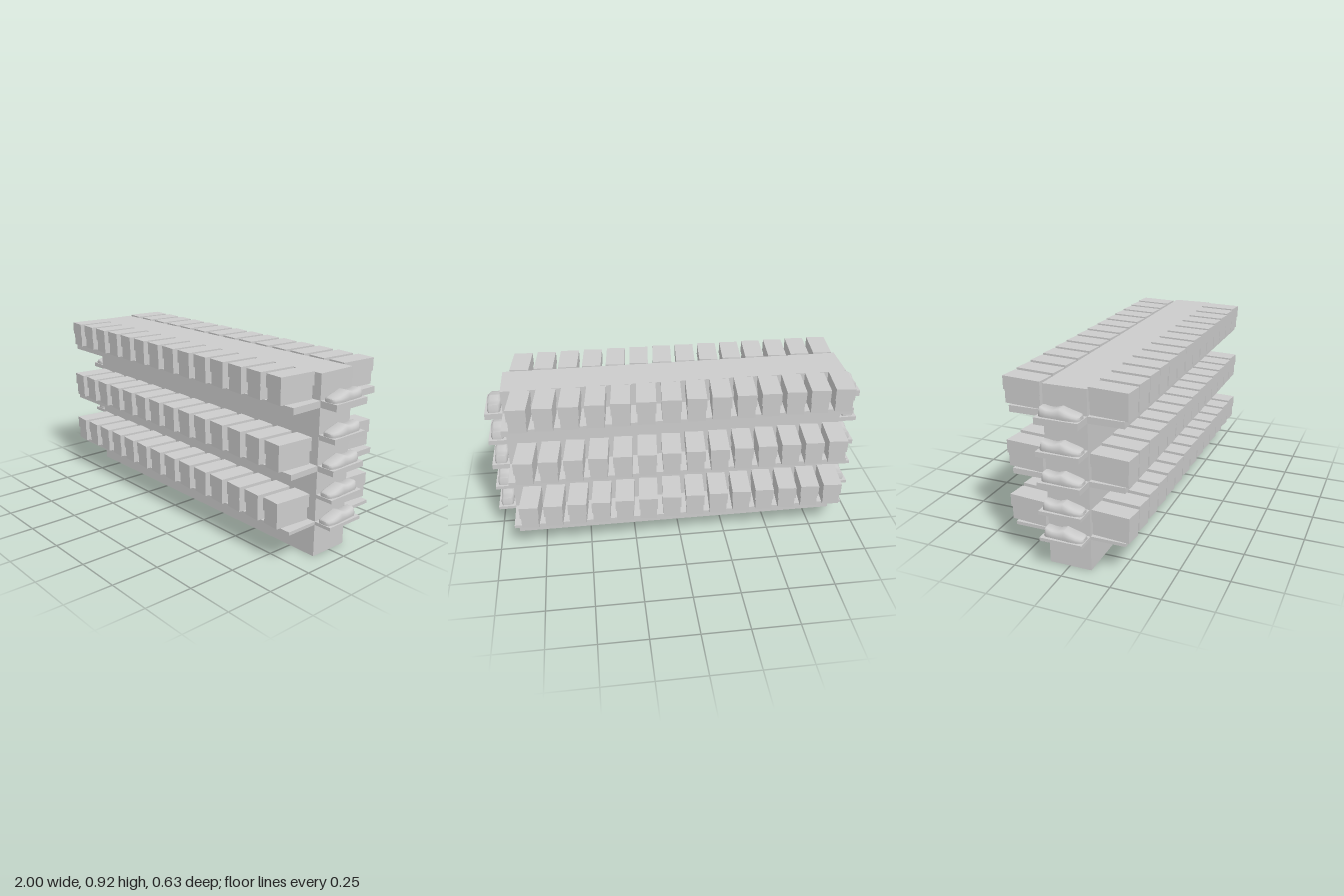
import * as THREE from 'three';
import { toCreasedNormals } from 'three/addons/utils/BufferGeometryUtils.js';

const grey = new THREE.MeshStandardMaterial({ color: 0xcccccc });
const greyDouble = new THREE.MeshStandardMaterial({ color: 0xcccccc, side: THREE.DoubleSide });

// Box standing on height y
function slab(name, w, h, d, x, y, z) {
  const mesh = new THREE.Mesh(new THREE.BoxGeometry(w, h, d), grey);
  mesh.position.set(x, y + h / 2, z);
  mesh.name = name;
  return mesh;
}

// Shoe lofted from toe (+z) to heel (-z)
function shoeGeometry() {
  // z, height, half width
  const stations = [
    [0.108, 0.018, 0.022], [0.1, 0.023, 0.032], [0.075, 0.028, 0.039], [0.045, 0.036, 0.04],
    [0.012, 0.047, 0.038], [-0.022, 0.036, 0.036], [-0.05, 0.036, 0.035],
    [-0.075, 0.041, 0.034], [-0.086, 0.042, 0.03], [-0.092, 0.02, 0.024],
  ];
  // Half cross-section as fractions of width and height
  const half = [[0.95, 0], [1, 0.3], [0.95, 0.6], [0.8, 0.88], [0.6, 1]];
  const ring = [...half, ...half.slice().reverse().map(([u, v]) => [-u, v])];
  const n = ring.length, pos = [], idx = [];
  for (const [z, h, w] of stations) for (const [u, v] of ring) pos.push(u * w, v * h, z);
  for (let i = 0; i < stations.length - 1; i++) {
    for (let j = 0; j < n; j++) {
      const a = i * n + j, b = i * n + (j + 1) % n;
      idx.push(a, a + n, b, b, a + n, b + n);
    }
  }
  const last = (stations.length - 1) * n;
  for (let j = 1; j < n - 1; j++) {
    idx.push(0, j, j + 1);
    idx.push(last, last + j + 1, last + j);
  }
  const geo = new THREE.BufferGeometry();
  geo.setAttribute('position', new THREE.Float32BufferAttribute(pos, 3));
  geo.setIndex(idx);
  return toCreasedNormals(geo, 0.8);
}

// Shoe box with a slightly wider lid
function shoeBox() {
  const box = new THREE.Group();
  box.name = 'shoeBox';
  box.add(slab('boxBody', 0.09, 0.066, 0.19, 0, 0, 0));
  box.add(slab('boxLid', 0.1, 0.066, 0.2, 0, 0.066, 0));
  box.rotation.y = -0.087;
  return box;
}

export function createModel() {
  const model = new THREE.Group();
  model.name = 'shoeDisplay';

  // Hollow core, open underneath
  const coreGeo = new THREE.BoxGeometry(1.81, 0.91, 0.218);
  const faces = Array.from(coreGeo.index.array);
  faces.splice(18, 6);
  coreGeo.setIndex(faces);
  coreGeo.clearGroups();
  const core = new THREE.Mesh(coreGeo, greyDouble);
  core.position.set(0, 0.455, 0.004);
  core.name = 'core';
  model.add(core);

  // Long shelves with a row of boxes on the front and back
  for (const [bottom, top] of [[0.167, 0.184], [0.44, 0.468], [0.75, 0.783]]) {
    model.add(slab('longShelf', 1.81, top - bottom, 0.572, 0, bottom, 0.004));
    for (const z of [0.214, -0.213]) {
      for (let i = 0; i < 14; i++) {
        const box = shoeBox();
        box.position.set(-0.847 + i * 0.1275, top, z);
        model.add(box);
      }
    }
  }

  // Small end shelves, each with one shoe
  const shoeGeo = shoeGeometry();
  const endLevels = [[0.167, 0.184], [0.305, 0.323], [0.44, 0.468], [0.595, 0.62], [0.75, 0.783]];
  for (const [bottom, top] of endLevels) {
    for (const side of [-1, 1]) {
      model.add(slab('endShelf', 0.096, top - bottom, 0.216, side * 0.952, bottom, 0.004));
      const shoe = new THREE.Mesh(shoeGeo, grey);
      shoe.position.set(side * 0.952, top, 0);
      shoe.name = 'shoe';
      model.add(shoe);
    }
  }
  return model;
}
